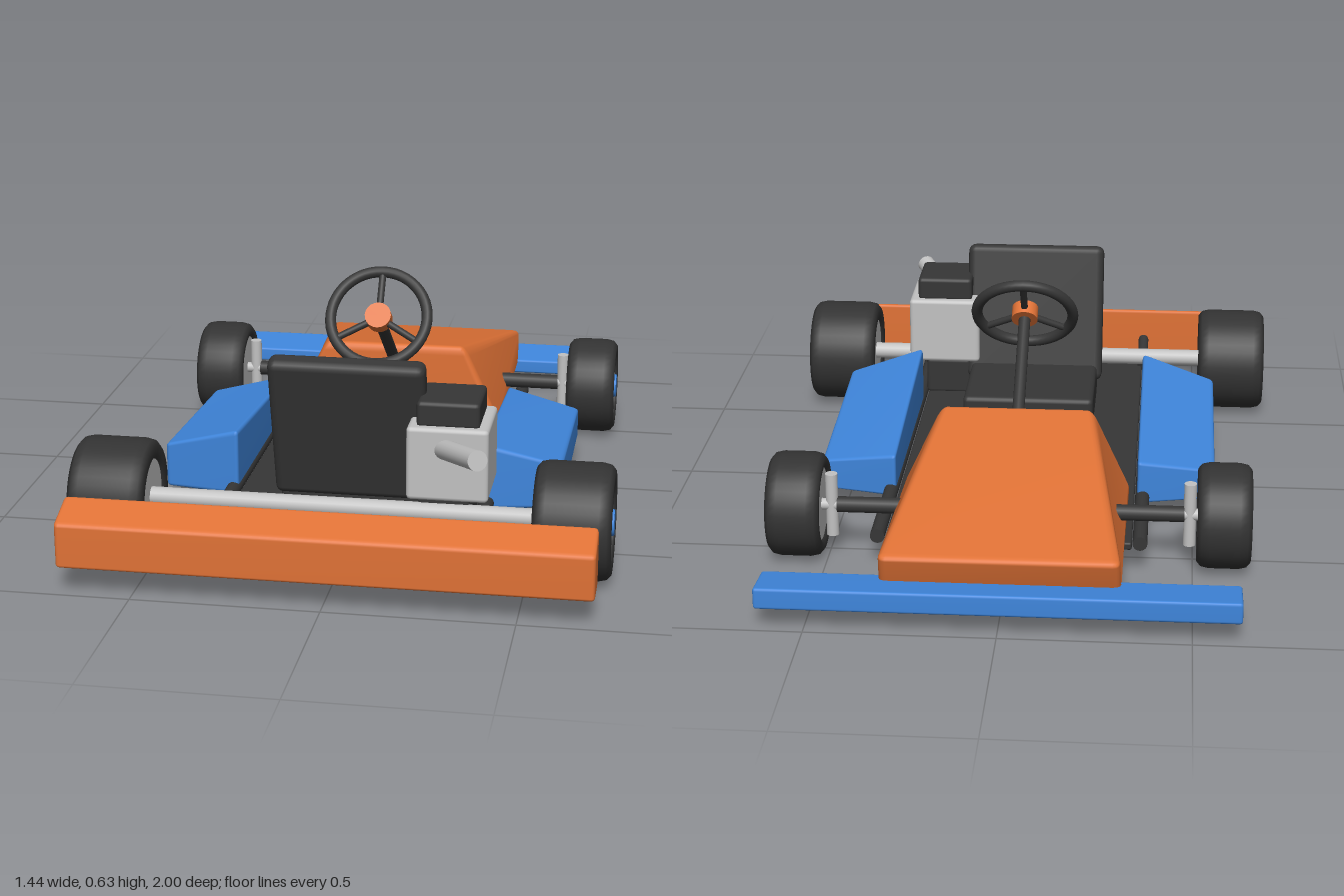
import * as THREE from 'three';
import { mergeVertices } from 'three/addons/utils/BufferGeometryUtils.js';
import { RoundedBoxGeometry } from 'three/addons/geometries/RoundedBoxGeometry.js';

const material = (name, color) => {
  const m = new THREE.MeshStandardMaterial({ color });
  m.name = name;
  return m;
};
const lerp = THREE.MathUtils.lerp;

export function createModel() {
  const orange = material('orange bodywork', 0xe07236);
  const blue = material('blue bodywork', 0x3f86dc);
  const black = material('black frame', 0x363636);
  const rubber = material('tyre rubber', 0x333333);
  const metal = material('light metal', 0xc2c2c2);
  const kart = new THREE.Group();
  kart.name = 'goKart';

  const add = (name, geometry, mat, parent = kart) => {
    const mesh = new THREE.Mesh(geometry, mat);
    mesh.name = name;
    parent.add(mesh);
    return mesh;
  };

  // Softly bevelled box given by its limits
  const block = (name, mat, [x0, x1], [y0, y1], [z0, z1], r = 0.012) => {
    const mesh = add(name, new RoundedBoxGeometry(x1 - x0, y1 - y0, z1 - z0, 2, r), mat);
    mesh.position.set((x0 + x1) / 2, (y0 + y1) / 2, (z0 + z1) / 2);
    return mesh;
  };

  // Bevelled box reshaped by a rule on its 0..1 coordinates
  const shaped = (name, mat, size, r, rule) => {
    let g = new RoundedBoxGeometry(...size, 2, r);
    g.deleteAttribute('normal');
    g.deleteAttribute('uv');
    g = mergeVertices(g, 1e-5);
    const p = g.attributes.position;
    for (let i = 0; i < p.count; i++) {
      p.setXYZ(i, ...rule(p.getX(i) / size[0] + 0.5, p.getY(i) / size[1] + 0.5, p.getZ(i) / size[2] + 0.5));
    }
    g.computeVertexNormals();
    return add(name, g, mat);
  };

  // Round bar between two points
  const rod = (name, mat, a, b, r, parent = kart) => {
    const from = new THREE.Vector3(...a), to = new THREE.Vector3(...b);
    const dir = to.clone().sub(from);
    const mesh = add(name, new THREE.CylinderGeometry(r, r, dir.length(), 20), mat, parent);
    mesh.position.copy(from).add(to).multiplyScalar(0.5);
    mesh.quaternion.setFromUnitVectors(new THREE.Vector3(0, 1, 0), dir.normalize());
    return mesh;
  };

  // Wheel with its outer face towards side s
  const wheel = (name, s, x0, x1, z, r) => {
    const w = (x1 - x0) / 2, rim = 0.1, c = 0.018;
    const group = new THREE.Group();
    group.name = name;
    group.position.set(s * (x0 + x1) / 2, r, z);
    group.rotation.z = -s * Math.PI / 2;
    kart.add(group);
    const profile = [
      [rim, -w + 0.008], [rim + 0.008, -w], [r - c, -w], [r - 0.005, -w + c * 0.6], [r, -w + c * 1.8],
      [r, w - c * 1.8], [r - 0.005, w - c * 0.6], [r - c, w], [rim + 0.008, w], [rim, w - 0.008], [rim, -w + 0.008],
    ].map(([a, b]) => new THREE.Vector2(a, b));
    add('tyre', new THREE.LatheGeometry(profile, 40), rubber, group);
    add('rim', new THREE.CylinderGeometry(rim, rim, 2 * w - 0.016, 40), metal, group);
    add('hubCap', new THREE.CylinderGeometry(0.034, 0.038, 0.012, 24), blue, group).position.y = w - 0.004;
  };

  // Floor and bumpers
  block('floorPan', black, [-0.335, 0.335], [0.068, 0.09], [-0.6, 0.82], 0.006);
  shaped('rearBumper', orange, [1.39, 0.16, 0.11], 0.012, (u, v, w) => [
    lerp(-0.695, 0.695, u), lerp(0.073, lerp(0.235, 0.195, w), v), lerp(0.887, 1, w)]);
  shaped('frontWing', blue, [1.25, 0.055, 0.14], 0.008, (u, v, w) => [
    lerp(-0.626, 0.626, u), lerp(0.06, lerp(0.12, 0.103, w), v), lerp(-1, -0.86, w)]);

  // Wedge nose, wide and low in front, narrow-topped behind
  shaped('nose', orange, [0.66, 0.2, 0.7], 0.024, (u, v, w) => {
    const half = lerp(lerp(0.315, 0.33, w), lerp(0.315, 0.21, w), v);
    return [lerp(-half, half, u), lerp(0.083, lerp(0.185, 0.337, w), v),
      lerp(lerp(-0.9, -0.935, v), -0.235, w)];
  });

  // Parts in mirrored pairs
  for (const s of [-1, 1]) {
    const side = s > 0 ? 'left' : 'right';
    shaped(side + 'SidePod', blue, [0.22, 0.16, 0.68], 0.012, (u, v, w) => {
      const out = s > 0 ? u : 1 - u;
      const top = lerp(lerp(0.197, 0.262, w), lerp(0.155, 0.197, w), out);
      return [s * lerp(0.342, 0.56, out), lerp(0.07, top, v),
        lerp(lerp(-0.3, -0.248, out), lerp(0.408, 0.365, out), w)];
    });
    rod(side + 'FrameRail', black, [s * 0.357, 0.088, -0.6], [s * 0.357, 0.088, 0.79], 0.02);
    rod(side + 'BumperBracket', black, [s * 0.337, 0.09, 0.745], [s * 0.337, 0.135, 0.9], 0.016);
    rod(side + 'FrontAxle', black, [s * 0.29, 0.145, -0.522], [s * 0.475, 0.145, -0.522], 0.022);
    rod(side + 'KingPin', metal, [s * 0.49, 0.055, -0.522], [s * 0.49, 0.236, -0.522], 0.017);
    rod(side + 'FrontSpindle', metal, [s * 0.46, 0.145, -0.522], [s * 0.53, 0.145, -0.522], 0.016);
    wheel(side + 'FrontWheel', s, 0.51, 0.656, -0.52, 0.144);
    wheel(side + 'RearWheel', s, 0.515, 0.72, 0.661, 0.156);
  }
  rod('rearAxle', metal, [-0.53, 0.156, 0.661], [0.53, 0.156, 0.661], 0.025);

  // Seat
  block('seatCushion', black, [-0.197, 0.197], [0.085, 0.19], [0.18, 0.52], 0.015);
  const back = block('seatBack', black, [-0.212, 0.212], [0.13, 0.55], [0.515, 0.58], 0.022);
  back.rotation.x = 0.25;

  // Engine beside the seat
  block('engineMount', black, [0.2, 0.34], [0.085, 0.2], [0.48, 0.66]);
  block('engineBlock', metal, [0.172, 0.39], [0.195, 0.397], [0.465, 0.685]);
  block('engineHead', black, [0.196, 0.364], [0.39, 0.462], [0.487, 0.663]);
  rod('exhaust', metal, [0.265, 0.335, 0.66], [0.383, 0.385, 0.872], 0.027);

  // Steering
  rod('steeringColumn', black, [0, 0.27, -0.26], [0, 0.505, 0.06], 0.017);
  const steering = new THREE.Group();
  steering.name = 'steeringWheel';
  steering.position.set(0, 0.505, 0.06);
  steering.rotation.x = -0.624;
  kart.add(steering);
  add('steeringRim', new THREE.TorusGeometry(0.14, 0.016, 14, 48), black, steering);
  rod('steeringHub', orange, [0, 0, -0.02], [0, 0, 0.022], 0.038, steering);
  for (let i = 0; i < 3; i++) {
    const a = Math.PI / 2 + i * Math.PI * 2 / 3;
    rod('steeringSpoke', black, [0, 0, 0], [0.14 * Math.cos(a), 0.14 * Math.sin(a), 0], 0.01, steering);
  }

  return kart;
}
